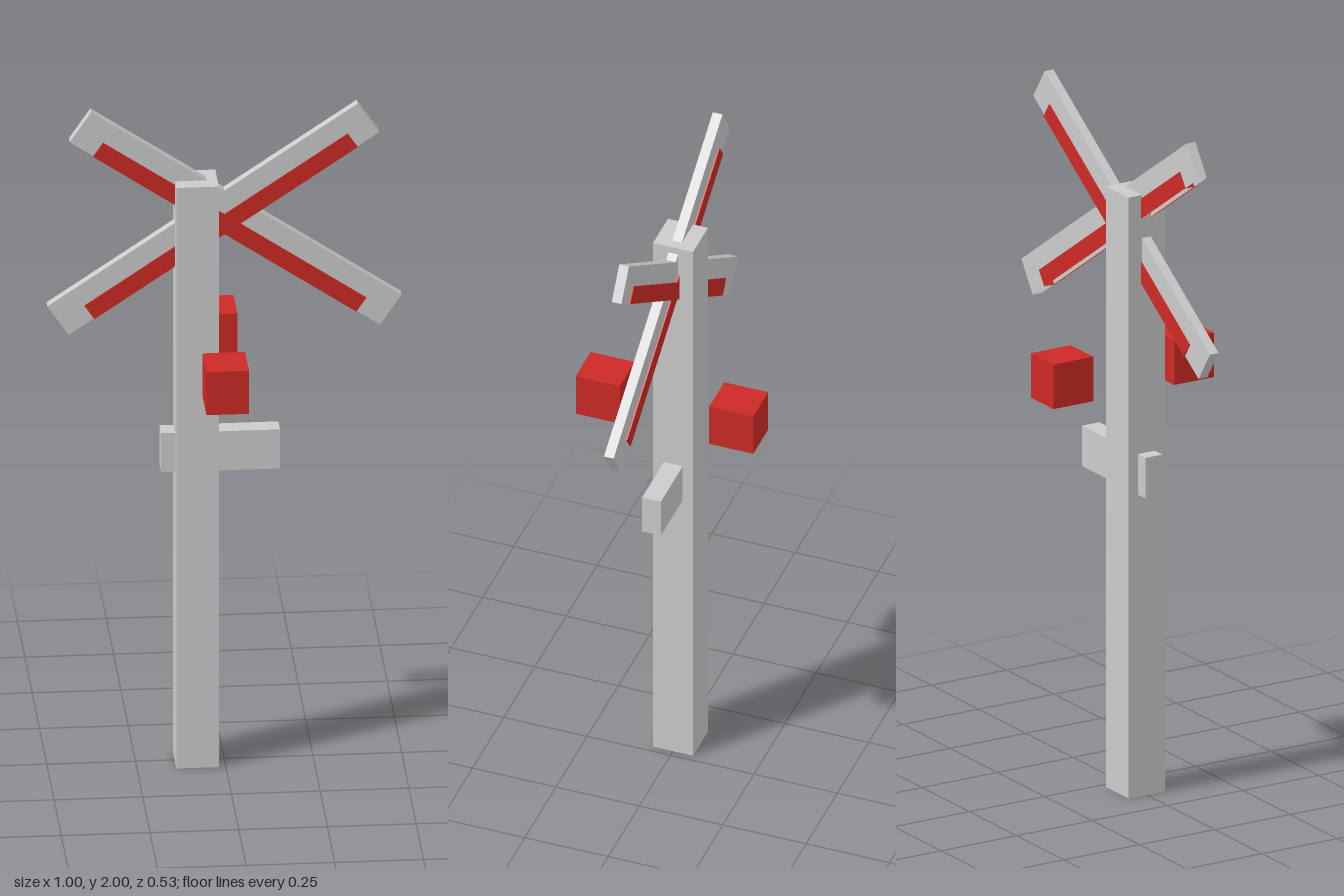
import * as THREE from 'three';

const grey = new THREE.MeshStandardMaterial({ color: 0xcccccc, flatShading: true, side: THREE.DoubleSide });
const red = new THREE.MeshStandardMaterial({ color: 0xcc2a25, flatShading: true, side: THREE.DoubleSide });

// Box shell without its underside
function shell(name, size, position, material) {
  const geometry = new THREE.BoxGeometry(...size);
  const index = Array.from(geometry.index.array);
  index.splice(18, 6); // the six indices of the -y face
  geometry.setIndex(index);
  geometry.clearGroups();
  const mesh = new THREE.Mesh(geometry, material);
  mesh.name = name;
  mesh.position.set(...position);
  return mesh;
}

export function createModel() {
  const model = new THREE.Group();
  model.name = 'railwayCrossingSign';

  // Post and the short plate passing through it
  model.add(shell('post', [0.12, 1.78, 0.12], [-0.08, 0.89, 0], grey));
  model.add(shell('plate', [0.335, 0.12, 0.056], [-0.0125, 0.955, -0.001], grey));

  // Crossed boards, each with a red strip along its lower half
  for (const side of [1, -1]) {
    const board = new THREE.Group();
    board.name = side > 0 ? 'risingBoard' : 'fallingBoard';
    board.add(shell('boardBody', [1.055, 0.108, 0.029], [0, 0, 0], grey));
    board.add(shell('redStrip', [0.895, 0.05, 0.037], [side > 0 ? 0.006 : 0, -0.03, 0], red));
    board.position.set(side > 0 ? -0.032 : 0.031, 1.66, -0.001);
    board.rotation.z = side * 0.594;
    model.add(board);
  }

  // Lamps in front of and behind the post
  for (const side of [1, -1]) {
    model.add(shell(side > 0 ? 'frontLamp' : 'backLamp', [0.12, 0.132, 0.132], [-0.012, 1.237, side * 0.2], red));
  }
  return model;
}
